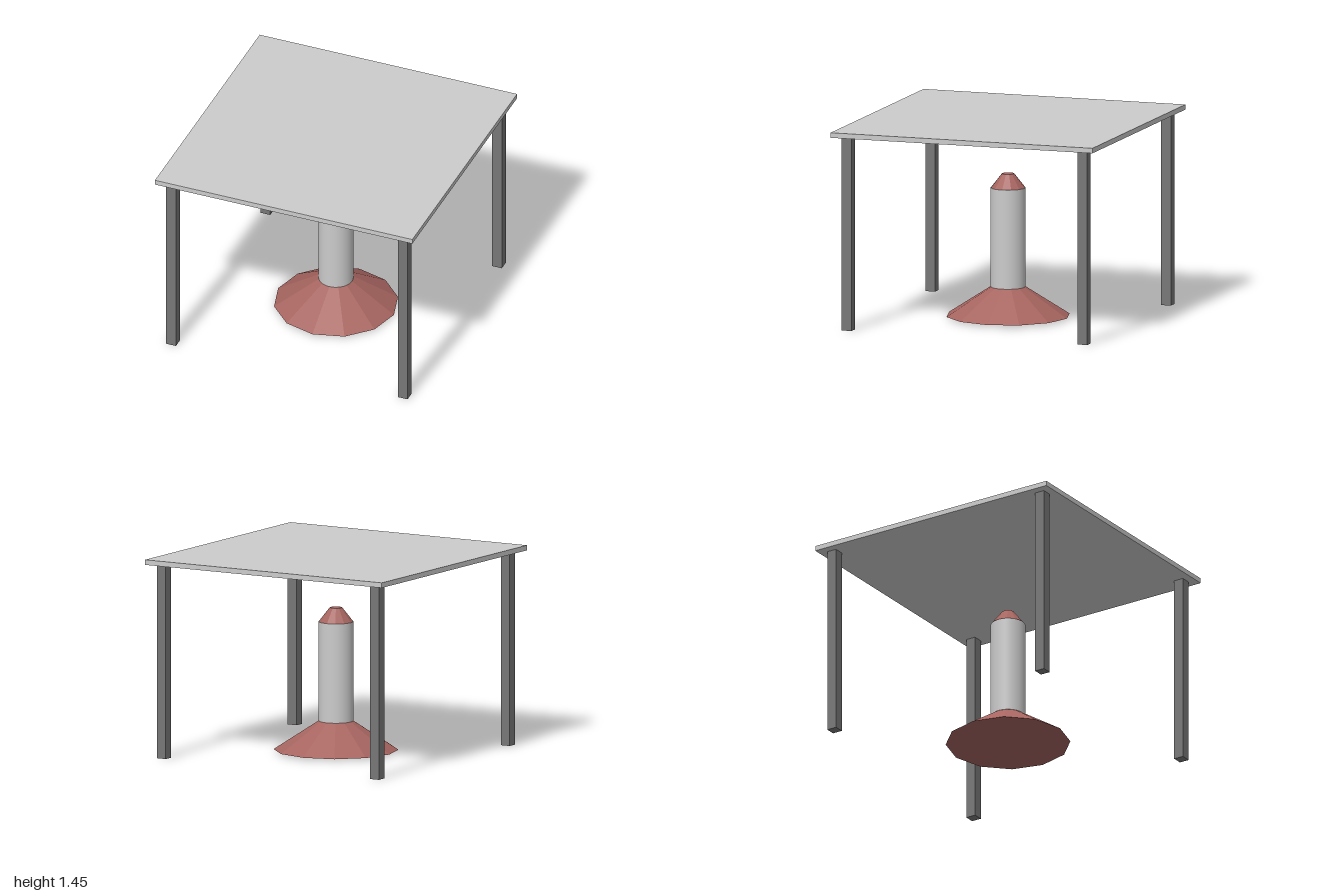
import * as THREE from 'three';

export function createModel() {
  const model = new THREE.Group();
  const grey = new THREE.MeshStandardMaterial({ color: 0xcccccc });
  const darkGrey = new THREE.MeshStandardMaterial({ color: 0x777777 });
  const red = new THREE.MeshStandardMaterial({ color: 0xa76560, flatShading: true });

  const add = (name, geometry, material, x, y, z) => {
    const mesh = new THREE.Mesh(geometry, material);
    mesh.name = name;
    mesh.position.set(x, y, z);
    model.add(mesh);
  };

  // Upright round part spanning bottom to top
  const addRound = (name, rTop, rBottom, bottom, top, sides, material) =>
    add(name, new THREE.CylinderGeometry(rTop, rBottom, top - bottom, sides),
      material, 0, (bottom + top) / 2, 0);

  // Square table top
  const topHeight = 1.45, legHeight = 1.413;
  add('tableTop', new THREE.BoxGeometry(2, topHeight - legHeight, 2), grey,
    0, (topHeight + legHeight) / 2, 0);

  // Four square legs
  const legGeometry = new THREE.BoxGeometry(0.075, legHeight, 0.075);
  for (const [xName, x] of [['Left', 1], ['Right', -1]]) {
    for (const [zName, z] of [['front', 1], ['back', -1]]) {
      add(`${zName}${xName}Leg`, legGeometry, darkGrey, x * 0.9, legHeight / 2, z * 0.9);
    }
  }

  // Central pillar: faceted foot, smooth column, faceted cap
  addRound('pillarFoot', 0.125, 0.45, 0.015, 0.225, 12, red);
  addRound('pillarColumn', 0.125, 0.125, 0.225, 0.948, 48, grey);
  addRound('pillarCap', 0.045, 0.125, 0.948, 1.05, 12, red);

  return model;
}
